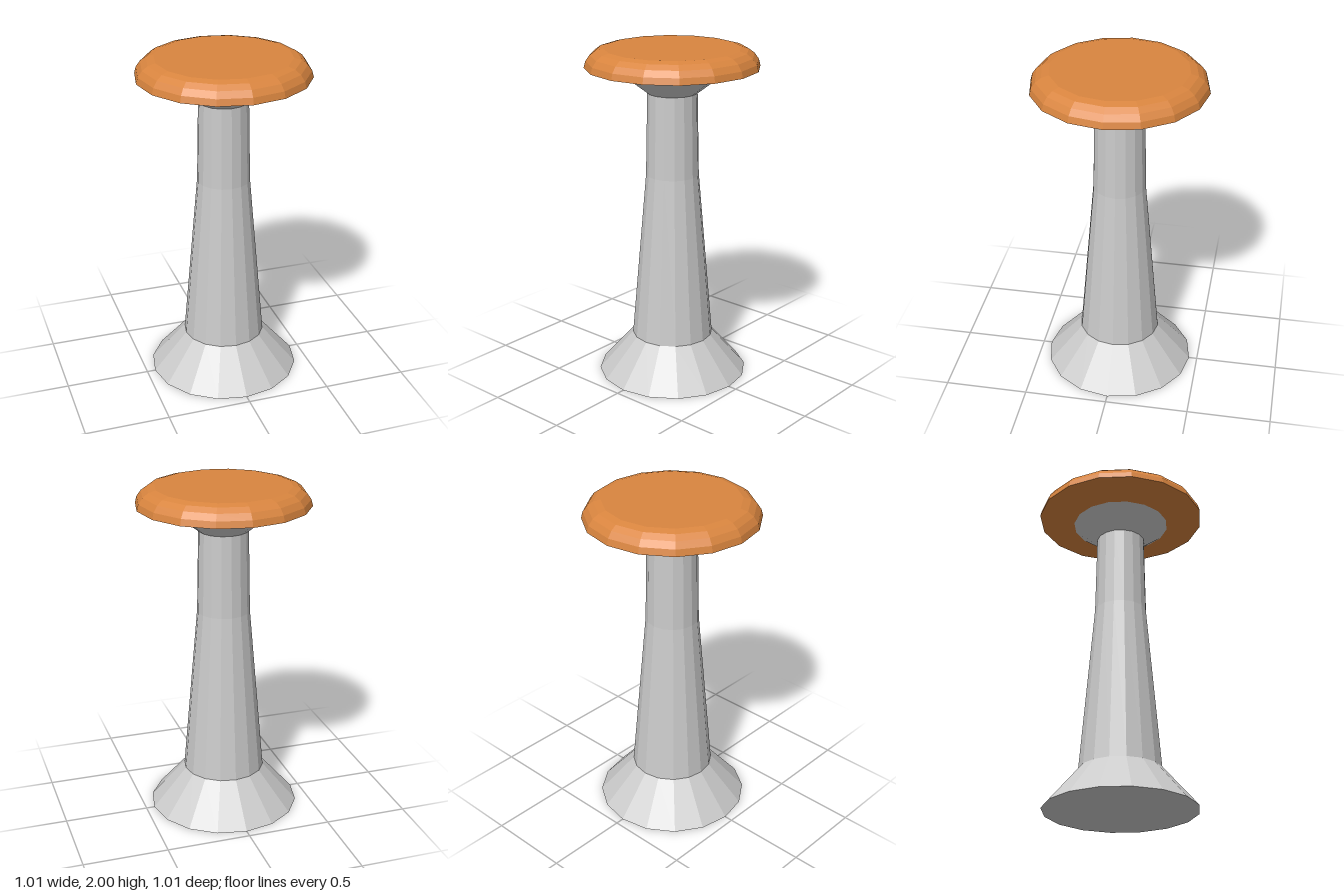
import * as THREE from 'three';

const SIDES = 16;

// Faceted turned part from [radius, height] pairs, listed bottom to top
function turned(name, profile, material) {
  const points = profile.map(([r, y]) => new THREE.Vector2(r, y));
  const mesh = new THREE.Mesh(new THREE.LatheGeometry(points, SIDES), material);
  mesh.name = name;
  return mesh;
}

export function createModel() {
  const stool = new THREE.Group();
  stool.name = 'stool';

  const metal = new THREE.MeshStandardMaterial({ color: 0xcccccc, flatShading: true });
  const leather = new THREE.MeshStandardMaterial({ color: 0xd9853f, flatShading: true });

  // Flared foot with closed underside
  stool.add(turned('base', [[0, 0], [0.45, 0], [0.243, 0.24]], metal));

  // Tapering column, nearly straight in its upper third
  stool.add(turned('column', [[0.243, 0.24], [0.156, 1.25], [0.146, 1.74]], metal));

  // Collar spreading out under the seat
  stool.add(turned('collar', [[0.146, 1.74], [0.292, 1.852]], metal));

  // Cushion: shallow cone below, rounded shoulder, flat top
  stool.add(turned('seat', [
    [0, 1.85], [0.292, 1.852], [0.507, 1.89], [0.497, 1.928],
    [0.472, 1.963], [0.438, 1.988], [0.395, 2], [0, 2],
  ], leather));

  return stool;
}
